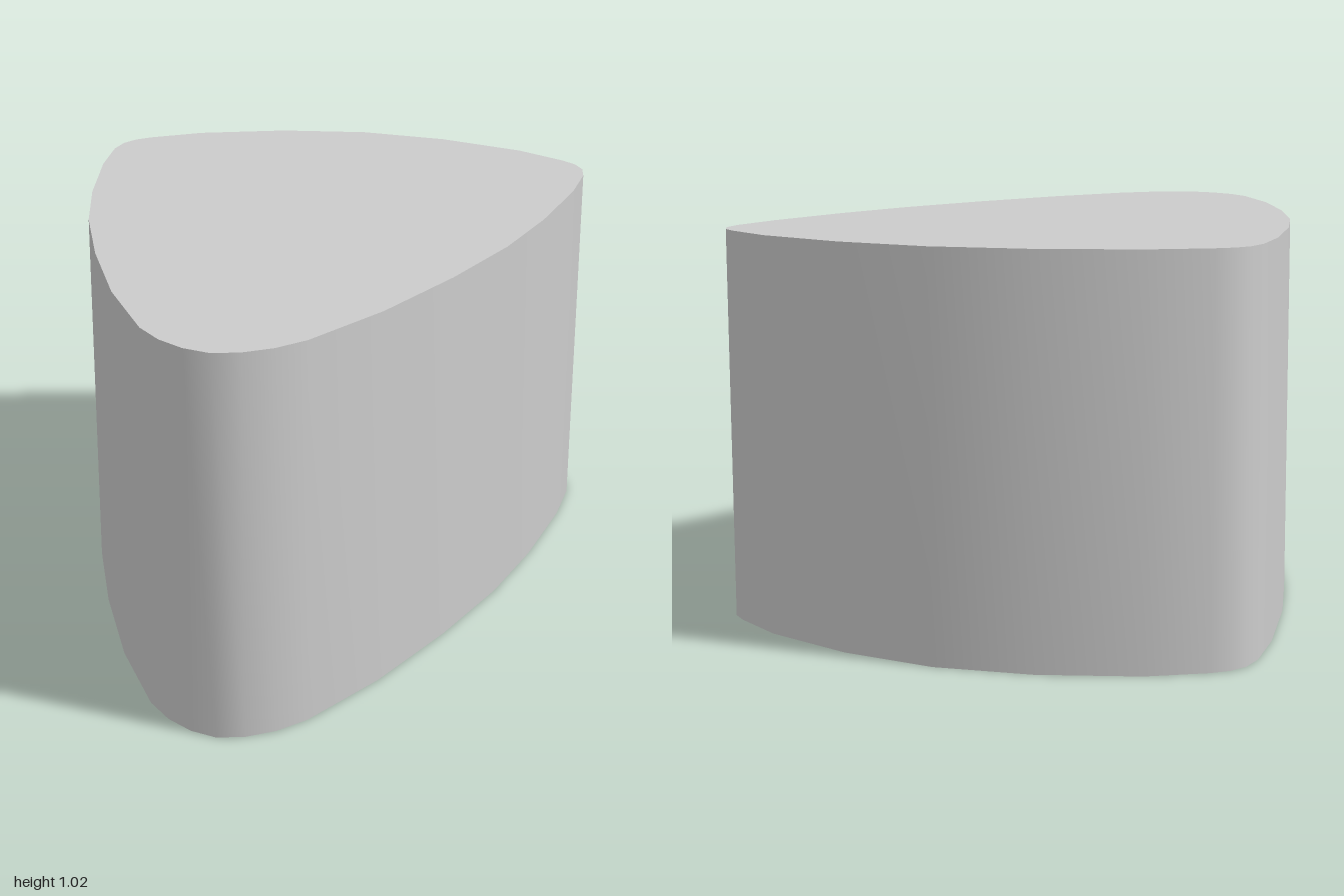
import * as THREE from 'three';
import { toCreasedNormals } from 'three/addons/utils/BufferGeometryUtils.js';

const HEIGHT = 1.025;

// One half of the outline as [x, z], from the middle of the back to the front tip
const HALF_OUTLINE = [
  [0, -1], [0.255, -0.968], [0.505, -0.885], [0.645, -0.8],
  [0.685, -0.765], [0.711, -0.718], [0.72, -0.65], [0.705, -0.48],
  [0.65, -0.19], [0.58, 0.07], [0.475, 0.35], [0.345, 0.635],
  [0.205, 0.87], [0.14, 0.938], [0.07, 0.982], [0, 1],
];

export function createModel() {
  const group = new THREE.Group();
  group.name = 'roundedWedge';

  // Mirror the half outline across x = 0; shape y becomes -z once laid flat
  const half = HALF_OUTLINE.map(([x, z]) => new THREE.Vector2(x, -z));
  const mirrored = half.slice(1, -1).reverse().map((p) => new THREE.Vector2(-p.x, p.y));
  const shape = new THREE.Shape([...half, ...mirrored]);

  // Straight extrusion with smooth walls and sharp top and bottom edges
  const geometry = new THREE.ExtrudeGeometry(shape, { depth: HEIGHT, bevelEnabled: false });
  geometry.rotateX(-Math.PI / 2);

  const body = new THREE.Mesh(
    toCreasedNormals(geometry, Math.PI / 4),
    new THREE.MeshStandardMaterial({ color: 0xcccccc }),
  );
  body.name = 'body';
  group.add(body);
  return group;
}
